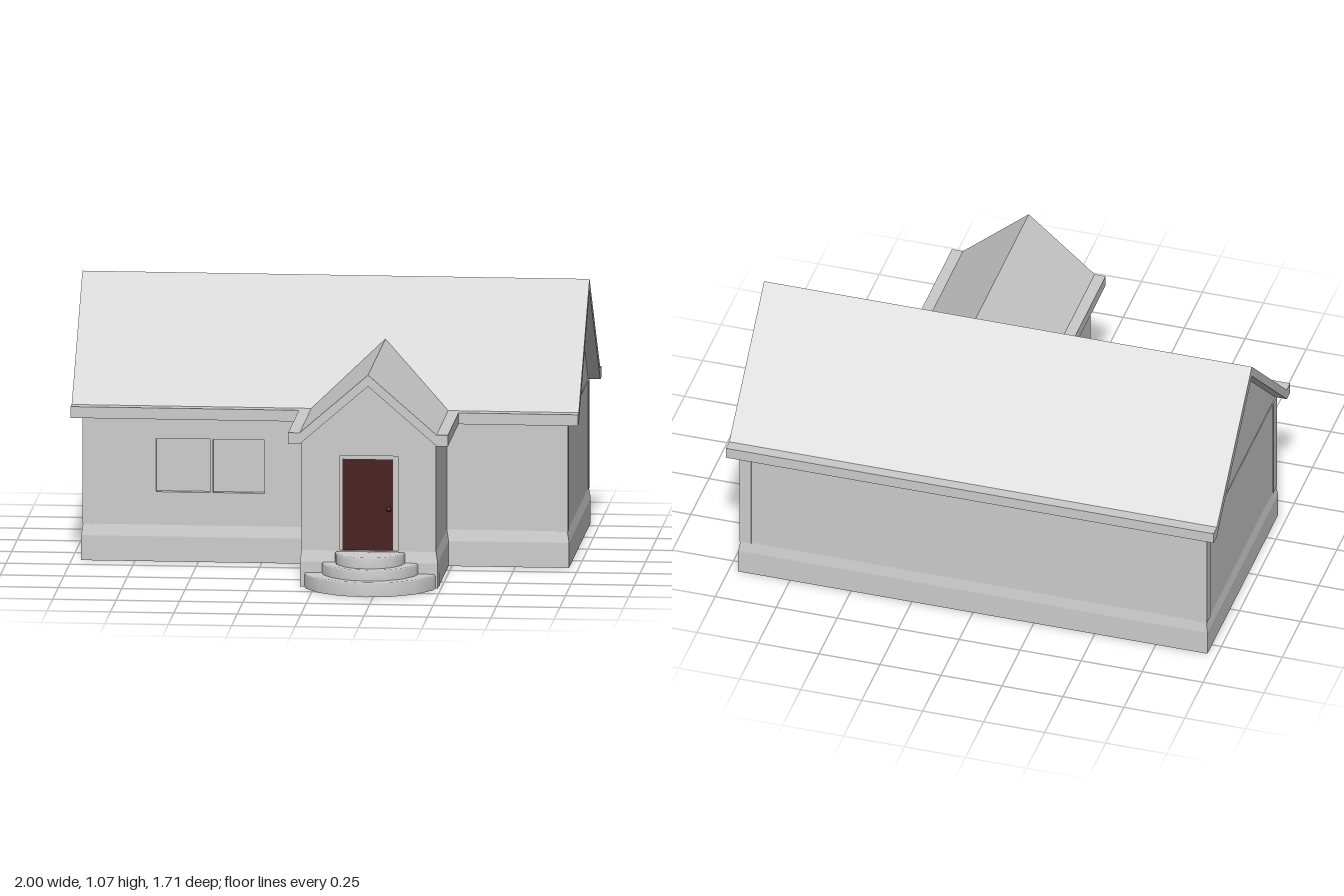
import * as THREE from 'three';

const grey = new THREE.MeshStandardMaterial({ color: 0xcccccc, flatShading: true });
const smoothGrey = new THREE.MeshStandardMaterial({ color: 0xcccccc, side: THREE.DoubleSide });
const red = new THREE.MeshStandardMaterial({ color: 0x441616 });

const EAVE = 0.575, ROOF = 0.045;
const MAIN = { x0: -0.955, x1: 0.955, z0: -0.805, z1: 0.15 };
const PORCH = { x0: -0.05, x1: 0.48, z0: 0, z1: 0.635 };
const MID = 0.215;        // porch centre line in x
const RIDGE_Z = -0.33;    // main ridge line in z

export function createModel() {
  const house = new THREE.Group();
  house.name = 'house';

  const add = (name, geometry, material = grey) => {
    const mesh = new THREE.Mesh(geometry, material);
    mesh.name = name;
    house.add(mesh);
    return mesh;
  };

  const box = (name, x0, x1, y0, y1, z0, z1, material) => {
    const mesh = add(name, new THREE.BoxGeometry(x1 - x0, y1 - y0, z1 - z0), material);
    mesh.position.set((x0 + x1) / 2, (y0 + y1) / 2, (z0 + z1) / 2);
    return mesh;
  };

  const shapeOf = (points) => new THREE.Shape(points.map(([a, b]) => new THREE.Vector2(a, b)));
  const rect = (x0, x1, y0, y1) => [[x0, y0], [x1, y0], [x1, y1], [x0, y1]];

  // Extrudes an x-y outline from z0 to z1, with optional holes
  const alongZ = (points, z0, z1, holes = []) => {
    const shape = shapeOf(points);
    holes.forEach((h) => shape.holes.push(shapeOf(h)));
    return new THREE.ExtrudeGeometry(shape, { depth: z1 - z0, bevelEnabled: false }).translate(0, 0, z0);
  };

  // Extrudes a z-y outline from x0 to x1
  const alongX = (points, x0, x1) =>
    alongZ(points.map(([z, y]) => [-z, y]), x0, x1).rotateY(Math.PI / 2);

  // Roof section: two sloping slabs, each ending in a short level eave
  const roofSection = (mid, half, lip, rise) => [
    [mid, EAVE + ROOF + rise],
    [mid - half, EAVE + ROOF], [mid - half - lip, EAVE + ROOF],
    [mid - half - lip, EAVE], [mid - half, EAVE],
    [mid, EAVE + rise],
    [mid + half, EAVE], [mid + half + lip, EAVE],
    [mid + half + lip, EAVE + ROOF], [mid + half, EAVE + ROOF],
  ];

  // Plinth: upright base with a sloping top
  const plinth = (name, { x0, x1, z0, z1 }) => {
    const out = 0.007, low = 0.1, high = 0.145;
    box(name, x0 - out, x1 + out, 0, low, z0 - out, z1 + out);
    const top = box(name + 'Slope', x0 - out, x1 + out, low, high, z0 - out, z1 + out);
    const p = top.geometry.attributes.position;
    for (let i = 0; i < p.count; i++) {
      if (p.getY(i) > 0) {
        p.setX(i, p.getX(i) - Math.sign(p.getX(i)) * out);
        p.setZ(i, p.getZ(i) - Math.sign(p.getZ(i)) * out);
      }
    }
  };

  // Main block: solid body, front wall with window openings, gables
  const skin = 0.025;
  const windows = [[-0.667, -0.455], [-0.443, -0.24]].map(([a, b]) => rect(a, b, 0.277, 0.49));
  box('mainBody', MAIN.x0, MAIN.x1, 0, EAVE, MAIN.z0, MAIN.z1 - skin);
  add('frontWall', alongZ(rect(MAIN.x0, MAIN.x1, 0, EAVE), MAIN.z1 - skin, MAIN.z1, windows));
  add('gables', alongX([[MAIN.z0, EAVE], [MAIN.z1, EAVE], [RIDGE_Z, 1.02]], MAIN.x0 + 0.003, MAIN.x1 - 0.003));
  plinth('mainPlinth', MAIN);

  // Corner boards
  for (const x of [MAIN.x0, MAIN.x1]) {
    for (const z of [MAIN.z0, MAIN.z1]) {
      const sx = Math.sign(x), sz = z > 0 ? 1 : -1, out = 0.003, wide = 0.045;
      const xs = [x + sx * out, x - sx * wide].sort((a, b) => a - b);
      const zs = [z + sz * out, z - sz * wide].sort((a, b) => a - b);
      box('cornerBoard', ...xs, 0.143, EAVE, ...zs);
    }
  }

  // Porch: solid body and front wall with a door opening
  const gabled = [[PORCH.x0, 0], [PORCH.x1, 0], [PORCH.x1, EAVE], [MID, 0.81], [PORCH.x0, EAVE]];
  add('porchBody', alongZ(gabled, PORCH.z0, PORCH.z1 - skin));
  add('porchFront', alongZ(gabled, PORCH.z1 - skin, PORCH.z1, [rect(0.1, 0.33, 0.145, 0.525)]));
  plinth('porchPlinth', PORCH);

  // Roofs
  add('mainRoof', alongX(roofSection(RIDGE_Z, 0.48, 0.046, 0.445), -1, 1));
  add('porchRoof', alongZ(roofSection(MID, 0.27, 0.045, 0.235), -0.1, 0.675));

  // Door, its frame and knob
  const back = PORCH.z1 - skin;
  box('door', 0.11, 0.31, 0.145, 0.51, back, back + 0.01, red);
  box('doorHead', 0.1, 0.33, 0.51, 0.525, back, back + 0.015);
  box('doorJamb', 0.31, 0.33, 0.145, 0.51, back, back + 0.015);
  box('doorJamb', 0.1, 0.11, 0.145, 0.51, back, back + 0.015);
  add('doorKnob', new THREE.SphereGeometry(0.01, 10, 8), red).position.set(0.292, 0.31, back + 0.016);

  // Rounded entrance steps, half circles against the porch
  const steps = [
    { r: 0.27, y0: 0, y1: 0.057, z: 0.58 },
    { r: 0.195, y0: 0.05, y1: 0.1, z: 0.615 },
    { r: 0.138, y0: 0.095, y1: 0.143, z: 0.642 },
  ];
  steps.forEach(({ r, y0, y1, z }) => {
    const profile = [[r, y0], [r, y1 - 0.006], [r - 0.006, y1], [0, y1]].map(([a, b]) => new THREE.Vector2(a, b));
    const step = add('step', new THREE.LatheGeometry(profile, 8, -Math.PI / 2, Math.PI), smoothGrey);
    step.position.set(MID + 0.005, 0, z);
  });

  return house;
}
